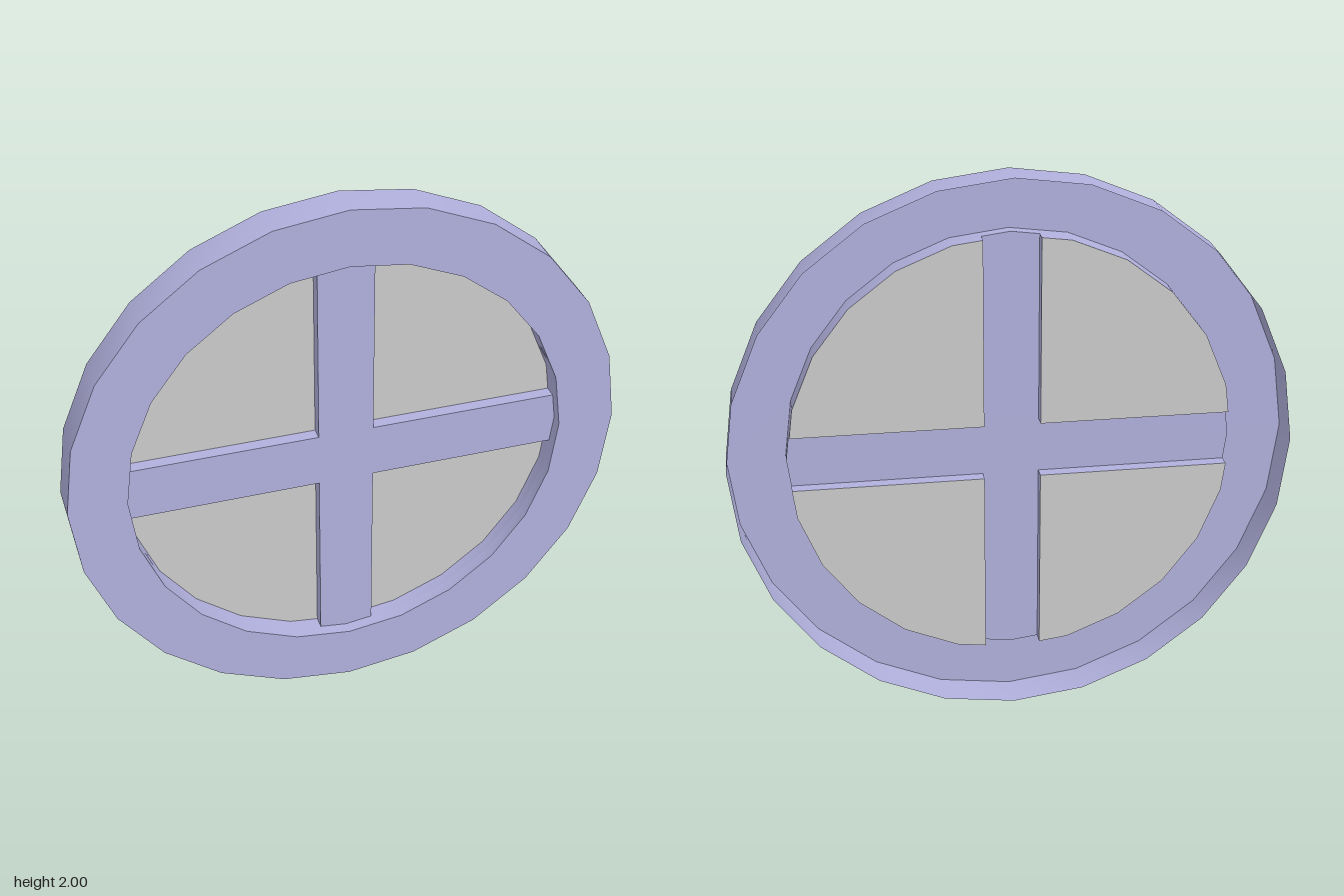
import * as THREE from 'three';
import { toCreasedNormals } from 'three/addons/utils/BufferGeometryUtils.js';

const SIDES = 24;
const OUTER = 1, INNER = 0.792, BAR_HALF = 0.1;
const FRONT_Z = 0.068, BAR_Z = 0.023, PANE_Z = -0.023, BACK_Z = -0.068;

// Corner i of a regular polygon, counted from the +x axis
function corner(radius, i) {
  const a = (i / SIDES) * Math.PI * 2;
  return new THREE.Vector2(Math.cos(a) * radius, Math.sin(a) * radius);
}
const polygon = (radius) => Array.from({ length: SIDES }, (_, i) => corner(radius, i));

const turned = (points, quarter) =>
  points.map((p) => p.clone().rotateAround(new THREE.Vector2(), quarter * Math.PI / 2));

// Flat sheet at depth z
const sheet = (shape, z) => new THREE.ShapeGeometry(shape).translate(0, 0, z);

// Open band along a closed outline, facing outward when it runs anticlockwise
function wall(points, z0, z1) {
  const positions = [];
  points.forEach((p, i) => {
    const q = points[(i + 1) % points.length];
    positions.push(p.x, p.y, z0, q.x, q.y, z0, q.x, q.y, z1);
    positions.push(p.x, p.y, z0, q.x, q.y, z1, p.x, p.y, z1);
  });
  const geometry = new THREE.BufferGeometry();
  geometry.setAttribute('position', new THREE.Float32BufferAttribute(positions, 3));
  geometry.computeVertexNormals();
  return toCreasedNormals(geometry, 0.5);
}

export function createModel() {
  const group = new THREE.Group();
  group.name = 'roundWindow';
  const frameMaterial = new THREE.MeshStandardMaterial({ color: 0xb1b0dd, side: THREE.DoubleSide });
  const paneMaterial = new THREE.MeshStandardMaterial({ color: 0xcccccc, side: THREE.DoubleSide });

  const add = (name, geometry, material) => {
    const mesh = new THREE.Mesh(geometry, material);
    mesh.name = name;
    mesh.position.y = OUTER;
    group.add(mesh);
  };

  // Round rim, hollow and open at the back
  const ring = new THREE.Shape(polygon(OUTER));
  ring.holes.push(new THREE.Path(polygon(INNER)));
  add('rimFace', sheet(ring, FRONT_Z), frameMaterial);
  add('rimOuterWall', wall(polygon(OUTER), BACK_Z, FRONT_Z), frameMaterial);
  add('rimInnerWall', wall(polygon(INNER).reverse(), BAR_Z, FRONT_Z), frameMaterial);

  // Where the upper edge of the right-hand bar meets the rim
  const first = corner(INNER, 0);
  const meet = first.clone().lerp(corner(INNER, 1), BAR_HALF / corner(INNER, 1).y);

  // Front face of the crossed bars, recessed behind the rim face
  const arm = [
    new THREE.Vector2(meet.x, -BAR_HALF), first, meet,
    new THREE.Vector2(BAR_HALF, BAR_HALF),
  ];
  const cross = [0, 1, 2, 3].flatMap((i) => turned(arm, i));
  add('crossBars', sheet(new THREE.Shape(cross), BAR_Z), frameMaterial);

  // Four quarter panes, each sunk in its own opening between the bars
  const opening = [
    new THREE.Vector2(BAR_HALF, BAR_HALF), meet,
    ...[1, 2, 3, 4, 5].map((i) => corner(INNER, i)),
    new THREE.Vector2(BAR_HALF, meet.x),
  ];
  for (let i = 0; i < 4; i++) {
    const outline = turned(opening, i);
    add('pane', sheet(new THREE.Shape(outline), PANE_Z), paneMaterial);
    add('openingWall', wall(outline.reverse(), PANE_Z, BAR_Z), frameMaterial);
  }

  return group;
}
